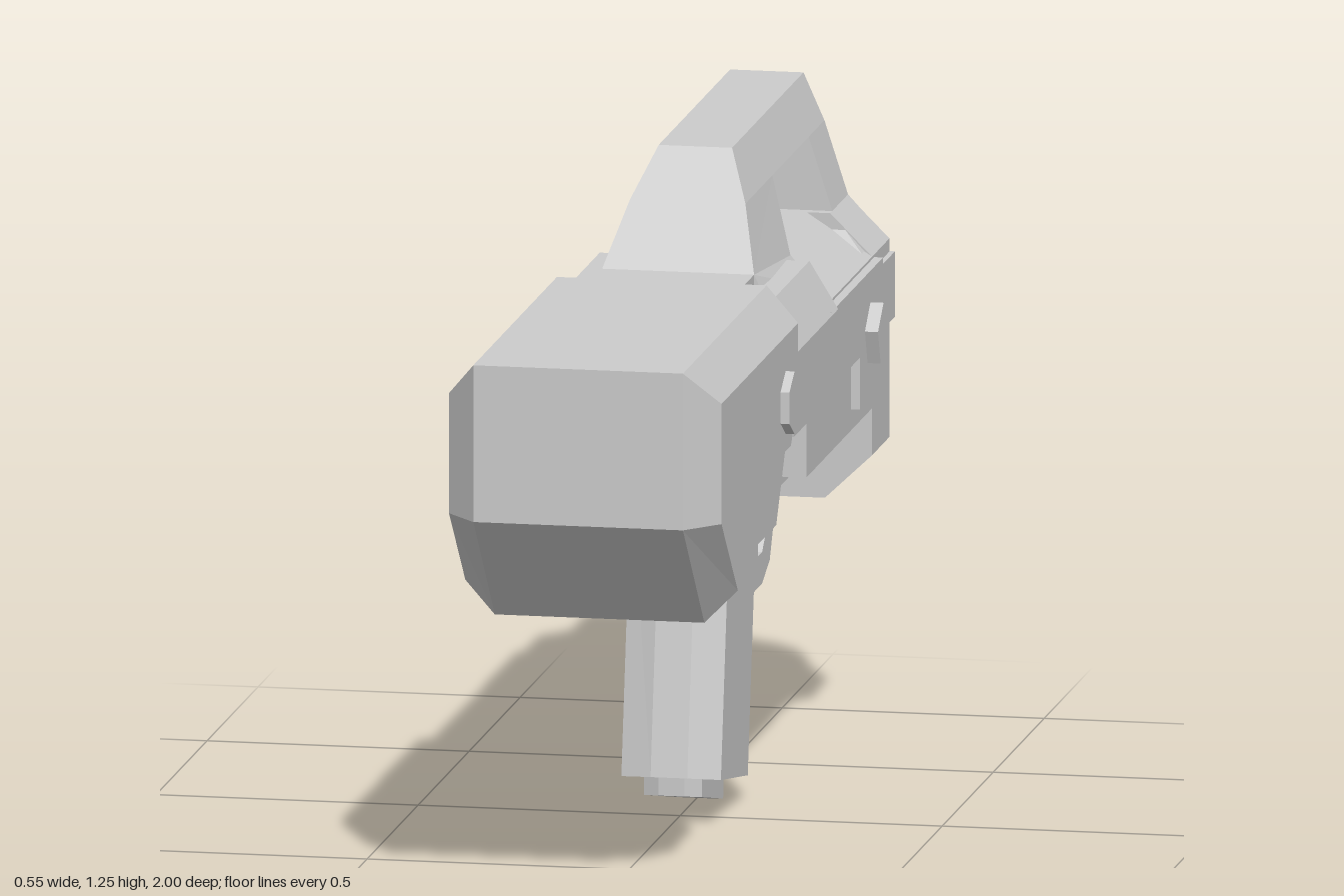
import * as THREE from 'three';

const material = new THREE.MeshStandardMaterial({ color: 0xcccccc, flatShading: true });

// Solid symmetric in x. Each ring is a side outline of [z, y, halfWidth] points,
// listed from the middle outwards; the last ring is capped.
function solid(...rings) {
  const flat = ring => ring.map(([z, y]) => new THREE.Vector2(-z, y));
  if (THREE.ShapeUtils.isClockWise(flat(rings[0]))) rings = rings.map(r => [...r].reverse());
  const left = rings.map(r => r.map(([z, y, x]) => [x, y, z]));
  const right = rings.map(r => r.map(([z, y, x]) => [-x, y, z])).reverse();
  const all = [...right, ...left];
  const pos = [];
  const n = rings[0].length;
  for (let k = 0; k < all.length - 1; k++) {
    for (let i = 0; i < n; i++) {
      const j = (i + 1) % n;
      const a = all[k][i], b = all[k][j], c = all[k + 1][j], d = all[k + 1][i];
      pos.push(...a, ...b, ...c, ...a, ...c, ...d);
    }
  }
  const last = all[all.length - 1], first = all[0];
  for (const [a, b, c] of THREE.ShapeUtils.triangulateShape(flat(rings[rings.length - 1]), [])) {
    pos.push(...last[a], ...last[b], ...last[c], ...first[a], ...first[c], ...first[b]);
  }
  const geo = new THREE.BufferGeometry();
  geo.setAttribute('position', new THREE.Float32BufferAttribute(pos, 3));
  geo.computeVertexNormals();
  return geo;
}

// Outline with one half width for all its points
const at = (x, pts) => pts.map(([z, y]) => [z, y, x]);

// Outline in x and y, mirrored to both sides and extruded along z
function slice(half, z0, z1) {
  const pts = [...half, ...half.map(([x, y]) => [-x, y]).reverse()];
  const shape = new THREE.Shape(pts.map(p => new THREE.Vector2(...p)));
  return new THREE.ExtrudeGeometry(shape, { depth: z1 - z0, bevelEnabled: false }).translate(0, 0, z0);
}

export function createModel() {
  const group = new THREE.Group();
  const add = (name, geo) => {
    const mesh = new THREE.Mesh(geo, material);
    mesh.name = name;
    group.add(mesh);
    return mesh;
  };

  // Chamfered stock cover
  add('stock', solid(
    at(0.2, [[1, 1.06], [1, 0.76], [0.79, 0.54], [0.57, 0.54], [0.57, 0.77], [0.25, 0.77], [0.18, 0.84], [0.18, 1.06]]),
    at(0.26, [[0.93, 0.99], [0.93, 0.76], [0.77, 0.6], [0.57, 0.6], [0.57, 0.77], [0.25, 0.77], [0.18, 0.84], [0.18, 0.99]])
  ));

  // Main body running inside the stock up to the front block
  add('body', solid(
    [[0.6, 0.56, 0.17], [0.3, 0.56, 0.17], [0.16, 0.77, 0.17], [-0.03, 0.77, 0.17], [-0.03, 0.65, 0.17],
      [-0.69, 0.65, 0.17], [-0.69, 1.02, 0.11], [0.6, 1.02, 0.11]],
    at(0.235, [[0.6, 0.62], [0.265, 0.62], [0.16, 0.77], [-0.03, 0.77], [-0.03, 0.65],
      [-0.69, 0.65], [-0.69, 0.94], [0.6, 0.94]])
  ));

  // Raised side panels
  add('rearPanel', solid(
    at(0.2, [[0.2, 1.02], [0.2, 0.775], [-0.165, 0.775], [-0.165, 0.93], [-0.24, 0.94], [-0.24, 1.02]]),
    at(0.255, [[0.2, 0.93], [0.2, 0.775], [-0.165, 0.775], [-0.165, 0.92], [-0.24, 0.92], [-0.24, 0.93]])
  ));
  add('frontPanel', solid(at(0.252, [[-0.16, 0.935], [-0.16, 0.79], [-0.47, 0.79], [-0.47, 0.69],
    [-0.65, 0.69], [-0.695, 0.79], [-0.695, 0.935]])));

  // Narrow frame under the body
  add('lowerFrame', solid(at(0.17, [[0.01, 0.78], [0.01, 0.615], [-0.68, 0.615], [-0.68, 0.78]])));

  // Carry handle: top bar, two posts and the deck behind it
  add('handleBar', solid([[-0.15, 1.25, 0.07], [-0.85, 1.25, 0.07], [-0.85, 1.16, 0.11], [-0.075, 1.16, 0.11]]));
  add('handleRearPost', solid([[-0.075, 1.16, 0.11], [-0.34, 1.16, 0.11], [-0.285, 1.02, 0.155],
    [-0.325, 0.95, 0.205], [0.02, 0.95, 0.19], [0.02, 1.045, 0.145]]));
  add('handleFrontPost', solid([[-0.695, 1.16, 0.11], [-0.85, 1.16, 0.11], [-0.85, 1.02, 0.155],
    [-0.85, 0.95, 0.22], [-0.65, 0.95, 0.22], [-0.695, 1.02, 0.155]]));
  add('deck', solid(at(0.145, [[0.2, 1.045], [0.2, 0.98], [-0.05, 0.98], [-0.05, 1.045]])));

  // Front block, its side band and face plate
  add('frontBlock', slice([[0.145, 0.475], [0.235, 0.56], [0.235, 0.94], [0.155, 1.02]], -0.845, -0.675));
  add('frontBand', slice([[0.245, 0.79], [0.245, 0.915]], -0.848, -0.695));
  add('facePlate', slice([[0.12, 0.54], [0.17, 0.59], [0.17, 0.91], [0.12, 0.965]], -0.862, -0.84));

  // Hollow five-sided muzzle
  const pentagon = r => Array.from({ length: 5 }, (_, i) => {
    const a = Math.PI / 2 + i * Math.PI * 2 / 5;
    return new THREE.Vector2(r * Math.cos(a), r * Math.sin(a));
  });
  const tube = new THREE.Shape(pentagon(0.094));
  tube.holes.push(new THREE.Path(pentagon(0.06)));
  add('muzzle', new THREE.ExtrudeGeometry(tube, { depth: 0.15, bevelEnabled: false }).translate(0, 0.862, -1));

  // Side bolts
  for (const side of [1, -1]) {
    for (const [sides, y, z, turn] of [[6, 0.863, 0.3, Math.PI / 2], [5, 0.815, -0.575, 0.25]]) {
      const bolt = add('bolt', new THREE.CylinderGeometry(0.06, 0.06, 0.06, sides)
        .rotateY(turn).rotateZ(Math.PI / 2));
      bolt.position.set(side * 0.247, y, z);
    }
  }

  // Slanted grip with chamfered edges, and its base pad
  add('grip', solid(
    at(0.035, [[0.015, 0.65], [0.11, 0.095], [-0.2, 0.04], [-0.305, 0.65]]),
    at(0.095, [[-0.01, 0.65], [0.088, 0.09], [-0.175, 0.045], [-0.282, 0.65]])
  ));
  add('gripBase', solid(
    at(0.025, [[0.085, 0.1], [0.085, 0.055], [-0.165, 0], [-0.17, 0.06]]),
    at(0.055, [[0.07, 0.1], [0.07, 0.052], [-0.14, 0.006], [-0.145, 0.06]])
  ));

  // Trigger and open guard
  add('trigger', solid(at(0.022, [[-0.36, 0.63], [-0.36, 0.565], [-0.415, 0.49], [-0.43, 0.51],
    [-0.395, 0.565], [-0.395, 0.63]])));
  add('triggerGuard', solid(at(0.065, [[-0.575, 0.63], [-0.575, 0.43], [-0.545, 0.38], [-0.47, 0.35],
    [-0.305, 0.35], [-0.305, 0.41], [-0.47, 0.41], [-0.507, 0.44], [-0.507, 0.63]])));

  return group;
}
